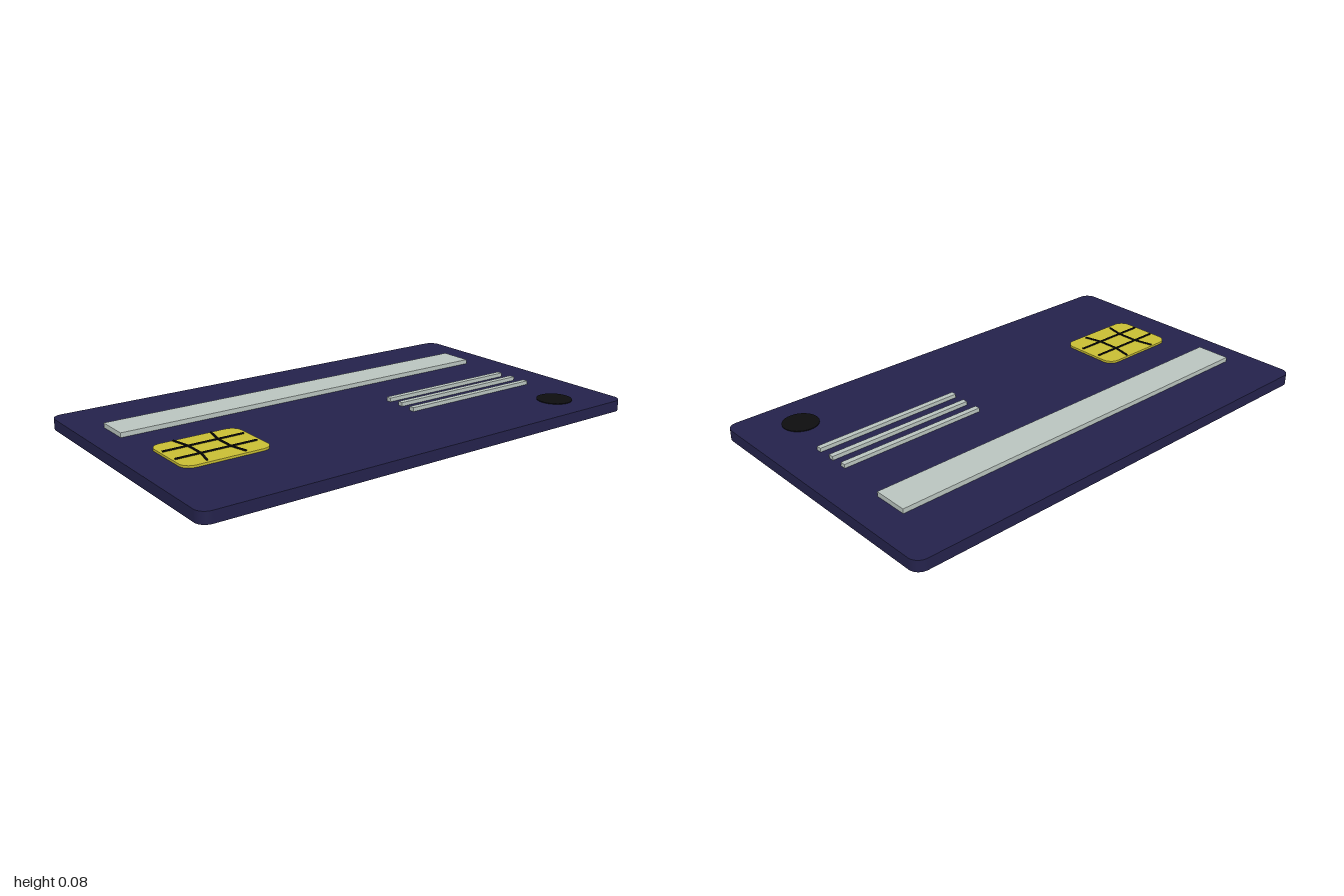
import * as THREE from 'three';

const material = (name, color) => {
  const m = new THREE.MeshStandardMaterial({ color });
  m.name = name;
  return m;
};

// Rounded slab lying flat between heights y0 and y1
function slab(x0, x1, z0, z1, y0, y1, r) {
  const s = new THREE.Shape();
  const a = -z1, b = -z0;
  s.moveTo(x0 + r, a);
  s.lineTo(x1 - r, a);
  s.absarc(x1 - r, a + r, r, -Math.PI / 2, 0);
  s.lineTo(x1, b - r);
  s.absarc(x1 - r, b - r, r, 0, Math.PI / 2);
  s.lineTo(x0 + r, b);
  s.absarc(x0 + r, b - r, r, Math.PI / 2, Math.PI);
  s.lineTo(x0, a + r);
  s.absarc(x0 + r, a + r, r, Math.PI, Math.PI * 1.5);
  const g = new THREE.ExtrudeGeometry(s, { depth: y1 - y0, bevelEnabled: false, curveSegments: 8 });
  return g.rotateX(-Math.PI / 2).translate(0, y0, 0);
}

function box(x0, x1, z0, z1, y0, y1) {
  return new THREE.BoxGeometry(x1 - x0, y1 - y0, z1 - z0)
    .translate((x0 + x1) / 2, (y0 + y1) / 2, (z0 + z1) / 2);
}

export function createModel() {
  const group = new THREE.Group();
  const navy = material('navy', 0x24224b);
  const silver = material('silver', 0xb9c4bf);
  const gold = material('gold', 0xc8bd34);
  const black = material('black', 0x0d0d0f);
  const add = (name, geometry, mat, parent = group) => {
    const m = new THREE.Mesh(geometry, mat);
    m.name = name;
    parent.add(m);
    return m;
  };

  // Card and raised strip
  add('cardBody', slab(-1, 1, -0.6, 0.6, 0.012, 0.058, 0.045), navy);
  add('strip', box(-0.887, 0.86, -0.347, -0.2, 0.05, 0.077), silver);

  // Raised bars on the right half
  [[0.2, 0.03], [0.2, 0.106], [0.192, 0.186]].forEach(([x, z], i) =>
    add('bar' + (i + 1), box(x, 0.838, z, z + 0.023, 0.05, 0.074), silver));

  // Contact chip with its dividing lines
  const chip = new THREE.Group();
  chip.name = 'chip';
  group.add(chip);
  add('chipPlate', slab(-0.857, -0.492, -0.033, 0.24, 0.05, 0.067, 0.045), gold, chip);
  const line = (x0, z0, x1, z1) => {
    const g = new THREE.BoxGeometry(Math.hypot(x1 - x0, z1 - z0) + 0.004, 0.008, 0.007);
    const m = add('chipLine', g, black, chip);
    m.position.set((x0 + x1) / 2, 0.068, (z0 + z1) / 2);
    m.rotation.y = -Math.atan2(z1 - z0, x1 - x0);
  };
  for (const z of [0.055, 0.149]) line(-0.845, z, -0.51, z);
  for (const side of [-1, 1]) {
    const inner = -0.681 + side * 0.062, outer = -0.681 + side * 0.079;
    line(outer, -0.025, inner, 0.055);
    line(inner, 0.055, inner, 0.149);
    line(inner, 0.149, outer, 0.222);
  }

  // Round plug passing through the card
  add('disc', new THREE.CylinderGeometry(0.073, 0.073, 0.061, 32).translate(0.77, 0.0305, 0.43), black);
  return group;
}
